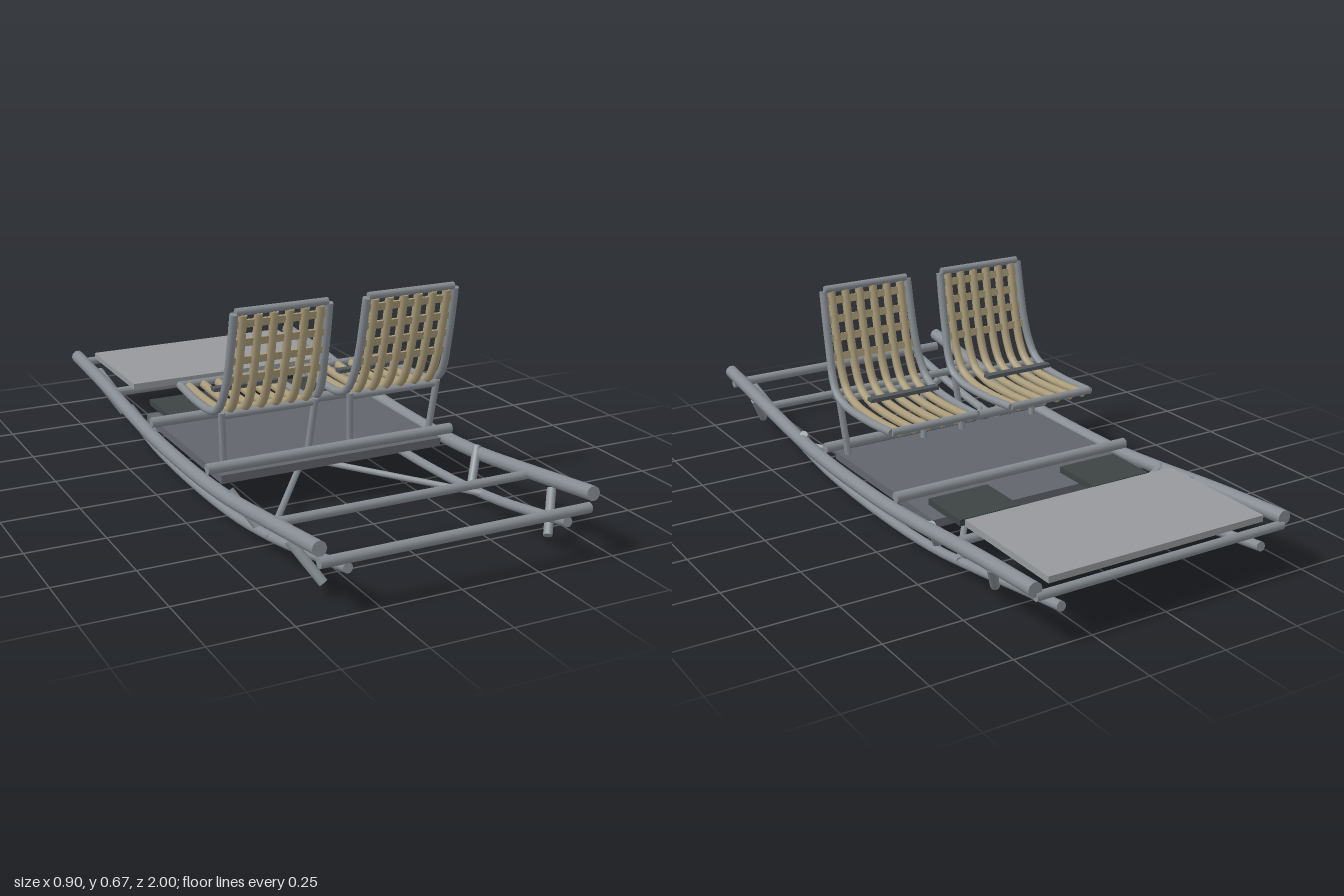
import * as THREE from 'three';

const mat = (name, color) => Object.assign(new THREE.MeshStandardMaterial({ color }), { name });
const steel = mat('steel grey', 0x868c92);
const cane = mat('cane tan', 0xa89a78);
const deckGrey = mat('deck grey', 0x62656d);
const panelGrey = mat('panel grey', 0x96999c);
const pedalDark = mat('pedal dark', 0x3c4443);
const beltGrey = mat('belt grey', 0x53585d);
const V = (x, y, z) => new THREE.Vector3(x, y, z);

function add(parent, name, geo, material) {
  const mesh = new THREE.Mesh(geo, material);
  mesh.name = name;
  parent.add(mesh);
  return mesh;
}

// Straight round bar between two points
function bar(parent, name, a, b, r, material = steel) {
  const m = add(parent, name, new THREE.CylinderGeometry(r, r, a.distanceTo(b), 10), material);
  m.position.copy(a).lerp(b, 0.5);
  m.quaternion.setFromUnitVectors(V(0, 1, 0), b.clone().sub(a).normalize());
  return m;
}

// Bent round tube with flat end caps
function bent(parent, name, points, r, material = steel, segments = 28) {
  const curve = new THREE.CatmullRomCurve3(points);
  add(parent, name, new THREE.TubeGeometry(curve, segments, r, 10), material);
  for (const t of [0, 1]) {
    const cap = add(parent, name + 'End', new THREE.CircleGeometry(r, 10), material);
    cap.position.copy(curve.getPointAt(t));
    cap.quaternion.setFromUnitVectors(V(0, 0, 1), curve.getTangentAt(t).multiplyScalar(t ? 1 : -1));
  }
}

function box(parent, name, size, pos, material) {
  const m = add(parent, name, new THREE.BoxGeometry(...size), material);
  m.position.set(...pos);
  return m;
}

// Side profile of a seat as [z, y], from the back's top to the seat's front edge
const profile = [[0.325, 0.65], [0.306, 0.55], [0.285, 0.46], [0.26, 0.385], [0.225, 0.335],
  [0.16, 0.311], [0.08, 0.305], [0, 0.305], [-0.115, 0.311]];

function createSeat() {
  const seat = new THREE.Group();
  const halfW = [0.153, 0.155, 0.157, 0.162, 0.165, 0.163, 0.16, 0.157, 0.151];
  for (const s of [-1, 1]) {
    bent(seat, 'seatSideTube', profile.map(([z, y], i) => V(s * halfW[i], y, z)), 0.013);
    bar(seat, 'seatLeg', V(s * 0.156, 0.325, 0.23), V(s * 0.141, 0.13, 0.205), 0.011);
  }
  bar(seat, 'backTopTube', V(-0.148, 0.655, 0.325), V(0.148, 0.655, 0.325), 0.012);
  bar(seat, 'seatFrontTube', V(-0.151, 0.311, -0.112), V(0.151, 0.311, -0.112), 0.012);
  bar(seat, 'seatRearTube', V(-0.16, 0.313, 0.225), V(0.16, 0.313, 0.225), 0.012);
  // Long slats following the profile
  for (let i = 0; i < 6; i++) {
    const x = (i - 2.5) * 0.05;
    bent(seat, 'slat', profile.map(([z, y]) => V(x, y - 0.004, z)), 0.0135, cane);
  }
  // Cross bands of the backrest
  for (const [y, z] of [[0.617, 0.319], [0.558, 0.308], [0.5, 0.295], [0.44, 0.279]]) {
    box(seat, 'crossBand', [0.3, 0.024, 0.008], [0, y, z], cane).rotation.x = 0.2;
  }
  box(seat, 'lapBelt', [0.245, 0.012, 0.026], [0, 0.35, 0.082], beltGrey);
  return seat;
}

export function createModel() {
  const model = new THREE.Group();
  model.name = 'twoSeatFrame';

  // Curved upper and lower rails as [z, y], and the struts between them
  const upper = [[0.99, 0.2], [0.7, 0.161], [0.4, 0.124], [0.2, 0.112], [0, 0.11], [-0.2, 0.114],
    [-0.4, 0.129], [-0.7, 0.158], [-0.99, 0.178]];
  const lower = [[0.99, 0.13, 0.345], [0.8, 0.091, 0.35], [0.6, 0.055, 0.358], [0.35, 0.027, 0.368],
    [0, 0.015, 0.37], [-0.35, 0.026, 0.368], [-0.6, 0.053, 0.358], [-0.8, 0.081, 0.35], [-0.99, 0.108, 0.345]];
  const struts = [[0.8, 0.88], [0.4, 0.47], [-0.445, -0.37], [-0.77, -0.69]];
  for (const s of [-1, 1]) {
    bent(model, 'upperRail', upper.map(([z, y]) => V(s * 0.428, y, z)), 0.022);
    bent(model, 'lowerRail', lower.map(([z, y, x]) => V(s * x, y, z)), 0.015);
    for (const [zTop, zLow] of struts) {
      bar(model, 'strut', V(s * 0.423, 0.147, zTop), V(s * 0.36, 0.043, zLow), 0.014);
    }
    // Diagonal brace under the deck
    bar(model, 'diagonalBrace', V(s * 0.37, 0.05, 0.56), V(-s * 0.37, 0.05, -0.515), 0.01);
    // Foot plate
    box(model, 'footPlate', [0.207, 0.02, 0.182], [s * 0.238, 0.143, -0.38], pedalDark);
  }

  // Cross tubes
  for (const [z, r] of [[0.98, 0.016], [0.69, 0.014], [0.235, 0.017], [-0.235, 0.017], [-0.595, 0.014], [-0.985, 0.014]]) {
    bar(model, 'crossTube', V(-0.425, 0.155, z), V(0.425, 0.155, z), r);
  }

  // Deck and rear panel
  box(model, 'deck', [0.765, 0.026, 0.635], [0, 0.118, -0.072], deckGrey);
  box(model, 'rearPanel', [0.74, 0.02, 0.42], [0, 0.18, -0.755], panelGrey);

  // Pair of seats
  for (const s of [-1, 1]) {
    const seat = createSeat();
    seat.name = s > 0 ? 'leftSeat' : 'rightSeat';
    seat.position.x = s * 0.216;
    model.add(seat);
  }
  return model;
}
